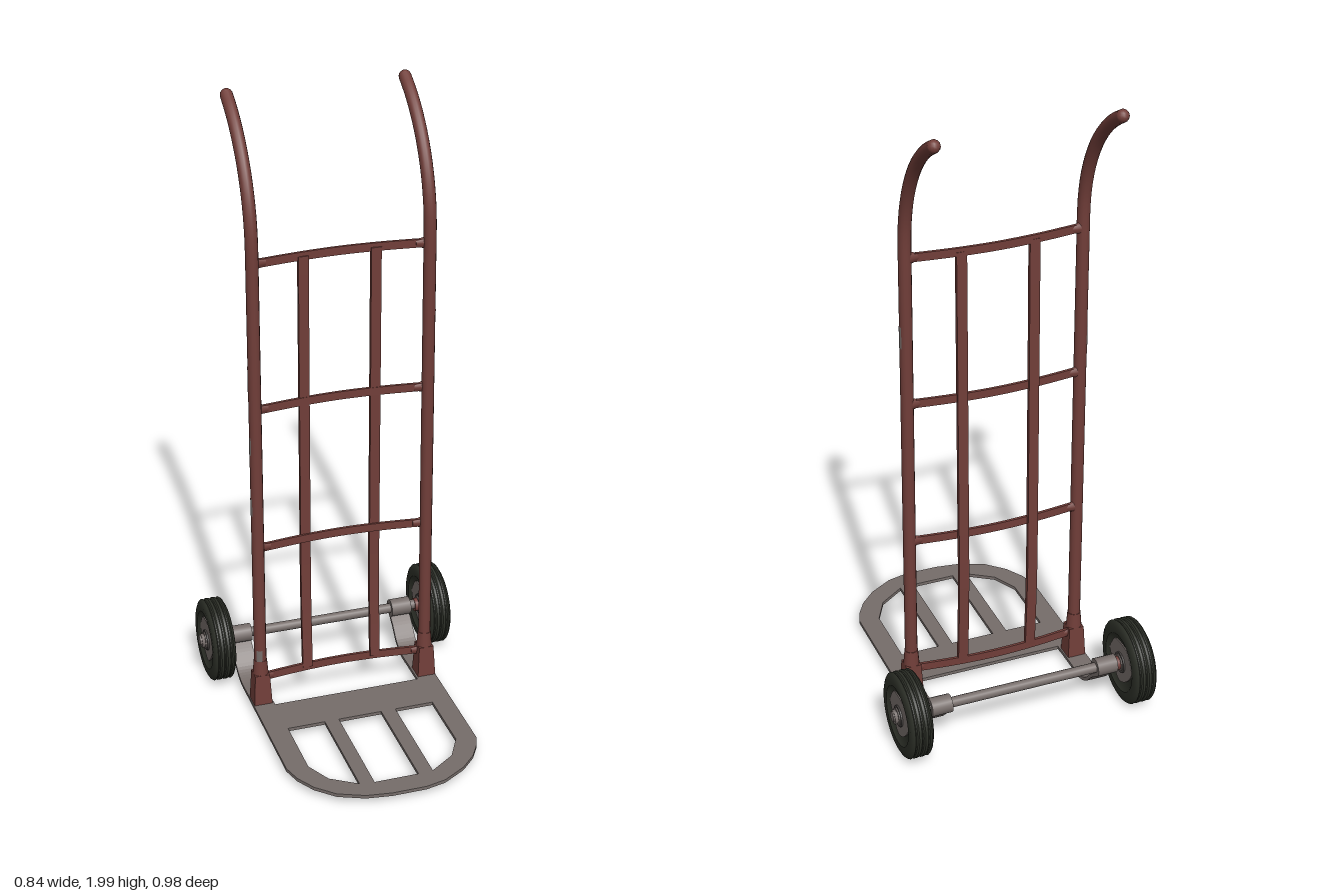
import * as THREE from 'three';
import { toCreasedNormals } from 'three/addons/utils/BufferGeometryUtils.js';

const mat = (name, color) => Object.assign(new THREE.MeshStandardMaterial({ color }), { name });

export function createModel() {
  const red = mat('rust red paint', 0x713e39);
  const steel = mat('worn steel', 0x766d6a);
  const rubber = mat('black rubber', 0x2d3028);
  const darkSteel = mat('dark steel', 0x4a4644);
  const root = new THREE.Group();
  root.name = 'handTruck';

  const add = (name, geo, material, x = 0, y = 0, z = 0, parent = root) => {
    const m = new THREE.Mesh(geo, material);
    m.name = name;
    m.position.set(x, y, z);
    parent.add(m);
    return m;
  };
  const v2 = (pts) => pts.map((p) => new THREE.Vector2(p[0], p[1]));

  // Strip of even thickness following a smooth 2D path, extruded by width
  const strip = (pts, thick, width, steps = 16) => {
    const curve = new THREE.SplineCurve(v2(pts));
    const a = [], b = [];
    for (let i = 0; i <= steps; i++) {
      const p = curve.getPoint(i / steps), t = curve.getTangent(i / steps);
      const n = new THREE.Vector2(-t.y, t.x).multiplyScalar(thick / 2);
      a.push(p.clone().add(n));
      b.unshift(p.clone().sub(n));
    }
    const geo = new THREE.ExtrudeGeometry(new THREE.Shape([...a, ...b]), { depth: width, bevelEnabled: false });
    return geo.translate(0, 0, -width / 2);
  };
  const rod = (r, len, seg = 16) => new THREE.CylinderGeometry(r, r, len, seg).rotateZ(Math.PI / 2);

  const railX = [-0.285, 0.265], railZ = -0.12, axleY = 0.143, axleZ = -0.36;

  // Rails: straight tube running into a swept-back handle
  const R = 0.453, railPts = [0.04, 0.4, 0.8, 1.2, 1.5].map((y) => new THREE.Vector3(0, y, railZ));
  for (let i = 0; i <= 8; i++) {
    const t = (i / 8) * 1.08;
    railPts.push(new THREE.Vector3(0, 1.58 + R * Math.sin(t), railZ - R * (1 - Math.cos(t))));
  }
  const railCurve = new THREE.CatmullRomCurve3(railPts);
  const end = railPts[railPts.length - 1];
  for (const x of railX) {
    add('rail', new THREE.TubeGeometry(railCurve, 64, 0.0195, 14), red, x);
    const cap = add('handleCap', new THREE.SphereGeometry(0.0195, 14, 8), red, x, end.y, end.z);
    cap.scale.setScalar(0.99);

    // Tapered square socket and collar at the foot of each rail
    const socket = new THREE.CylinderGeometry(0.034, 0.042, 0.11, 4, 1).rotateY(Math.PI / 4);
    add('railSocket', socket.toNonIndexed(), red, x, 0.085, railZ).geometry.computeVertexNormals();
    add('socketCollar', new THREE.CylinderGeometry(0.021, 0.025, 0.05, 14), red, x, 0.165, railZ);
  }

  // Bowed cross bars with flared ends
  const barGeo = strip([[-0.272, -0.124], [-0.14, -0.139], [-0.01, -0.145], [0.12, -0.139], [0.252, -0.124]], 0.009, 0.026);
  barGeo.rotateX(Math.PI / 2);
  for (const y of [0.12, 0.59, 1.065, 1.54]) {
    add('crossBar', barGeo, red, 0, y);
    for (const s of [-1, 1]) {
      const flare = new THREE.CylinderGeometry(0.011, 0.021, 0.036, 8).rotateZ((s * Math.PI) / 2);
      add('barFlare', flare.scale(1, 1, 0.5), red, -0.01 + s * 0.25, y, -0.126);
    }
  }

  // Upright slats, slightly bowed towards the back
  const slatGeo = strip([[-0.139, 0.12], [-0.15, 0.4], [-0.147, 0.8], [-0.143, 1.2], [-0.139, 1.54]], 0.014, 0.032);
  slatGeo.rotateY(-Math.PI / 2);
  for (const x of [-0.124, 0.102]) add('uprightSlat', slatGeo, red, x);

  // Bare patches where paint has worn off the rails: [rail, height, length, direction]
  const side = Math.PI / 2;
  for (const [i, y, len, dir] of [[0, 1.17, 0.09, -side - 0.4], [0, 0.95, 0.06, -side], [0, 0.74, 0.06, -side],
    [0, 0.21, 0.04, -0.4], [1, 1.29, 0.07, side]]) {
    const patch = new THREE.CylinderGeometry(0.0203, 0.0203, len, 6, 1, true, dir - 0.5, 1);
    add('wornPatch', patch, steel, railX[i], y, railZ);
  }

  // Toe plate: rounded frame with openings between the slats
  const plate = new THREE.Shape(v2([[-0.317, -0.1], [-0.25, -0.1], [-0.25, -0.08], [0.23, -0.08], [0.23, -0.1],
    [0.295, -0.1], [0.294, 0.29], [0.28, 0.33], [0.25, 0.38], [0.2, 0.43], [0.125, 0.475], [0.06, 0.49], [-0.05, 0.49],
    [-0.13, 0.478], [-0.21, 0.443], [-0.265, 0.39], [-0.3, 0.33], [-0.317, 0.27]]));
  plate.holes = [
    [[-0.25, 0.063], [-0.129, 0.063], [-0.129, 0.414], [-0.21, 0.36], [-0.25, 0.28]],
    [[-0.083, 0.063], [0.058, 0.063], [0.058, 0.42], [-0.083, 0.42]],
    [[0.105, 0.063], [0.23, 0.063], [0.23, 0.28], [0.187, 0.36], [0.105, 0.417]],
  ].map((h) => new THREE.Path(v2(h)));
  const plateGeo = new THREE.ExtrudeGeometry(plate, { depth: 0.011, bevelEnabled: false }).rotateX(Math.PI / 2);
  add('toePlate', plateGeo, steel, 0, 0.036);

  // Arms bending up from the plate to the axle
  const armGeo = strip([[-0.09, 0.0305], [-0.17, 0.0305], [-0.24, 0.031], [-0.29, 0.05], [-0.33, 0.09], [-0.365, 0.118]],
    0.011, 0.066, 24).rotateY(-Math.PI / 2);
  for (const x of [-0.284, 0.2625]) {
    add('axleArm', armGeo, steel, x);
    add('axleSleeve', rod(0.029, 0.066), steel, x, axleY, axleZ);
  }
  add('axle', rod(0.016, 0.84), steel, -0.003, axleY, axleZ);

  // Wheels: grooved tyre, hub discs and axle nuts
  const profile = [[0.05, -0.024], [0.085, -0.028], [0.095, -0.036], [0.118, -0.037], [0.13, -0.031]];
  for (const g of [-0.02, 0, 0.02]) {
    profile.push([0.134, g - 0.006], [0.129, g - 0.002], [0.129, g + 0.002], [0.134, g + 0.006]);
  }
  profile.push([0.13, 0.031], [0.118, 0.037], [0.095, 0.036], [0.085, 0.028], [0.05, 0.024]);
  const tyreGeo = toCreasedNormals(new THREE.LatheGeometry(v2(profile), 36).rotateZ(Math.PI / 2), 0.6);

  // Rounded-diamond hub face
  const face = new THREE.Shape();
  face.setFromPoints(new THREE.SplineCurve(v2([[0.083, 0.005], [0.045, -0.045], [0.008, -0.073], [-0.04, -0.05],
    [-0.079, 0.002], [-0.062, 0.042], [-0.035, 0.067], [0.035, 0.066], [0.06, 0.045], [0.083, 0.005]])).getPoints(36));
  const faceGeo = new THREE.ExtrudeGeometry(face, { depth: 0.006, bevelEnabled: false });
  faceGeo.translate(0, 0, -0.003).rotateY(-Math.PI / 2);

  for (const s of [-1, 1]) {
    const wheel = new THREE.Group();
    wheel.name = s < 0 ? 'rightWheel' : 'leftWheel';
    wheel.position.set(-0.002 + s * 0.366, axleY - 0.003, axleZ);
    root.add(wheel);
    add('tyre', tyreGeo, rubber, 0, 0, 0, wheel);
    add('hubCore', rod(0.088, 0.05, 32), rubber, 0, 0, 0, wheel);
    for (const f of [-1, 1]) add('hubFace', faceGeo, steel, f * 0.027, 0, 0, wheel);
    add('hubRing', rod(0.034, 0.07, 20), darkSteel, 0, 0, 0, wheel);
    add('hubBoss', rod(0.027, 0.078, 20), steel, 0, 0, 0, wheel);
    add('axleNut', rod(0.023, 0.012, 6), steel, s * 0.043, 0, 0, wheel);
    add('innerWasher', rod(0.022, 0.014), red, s * -0.044, 0, 0, wheel);
  }
  return root;
}
